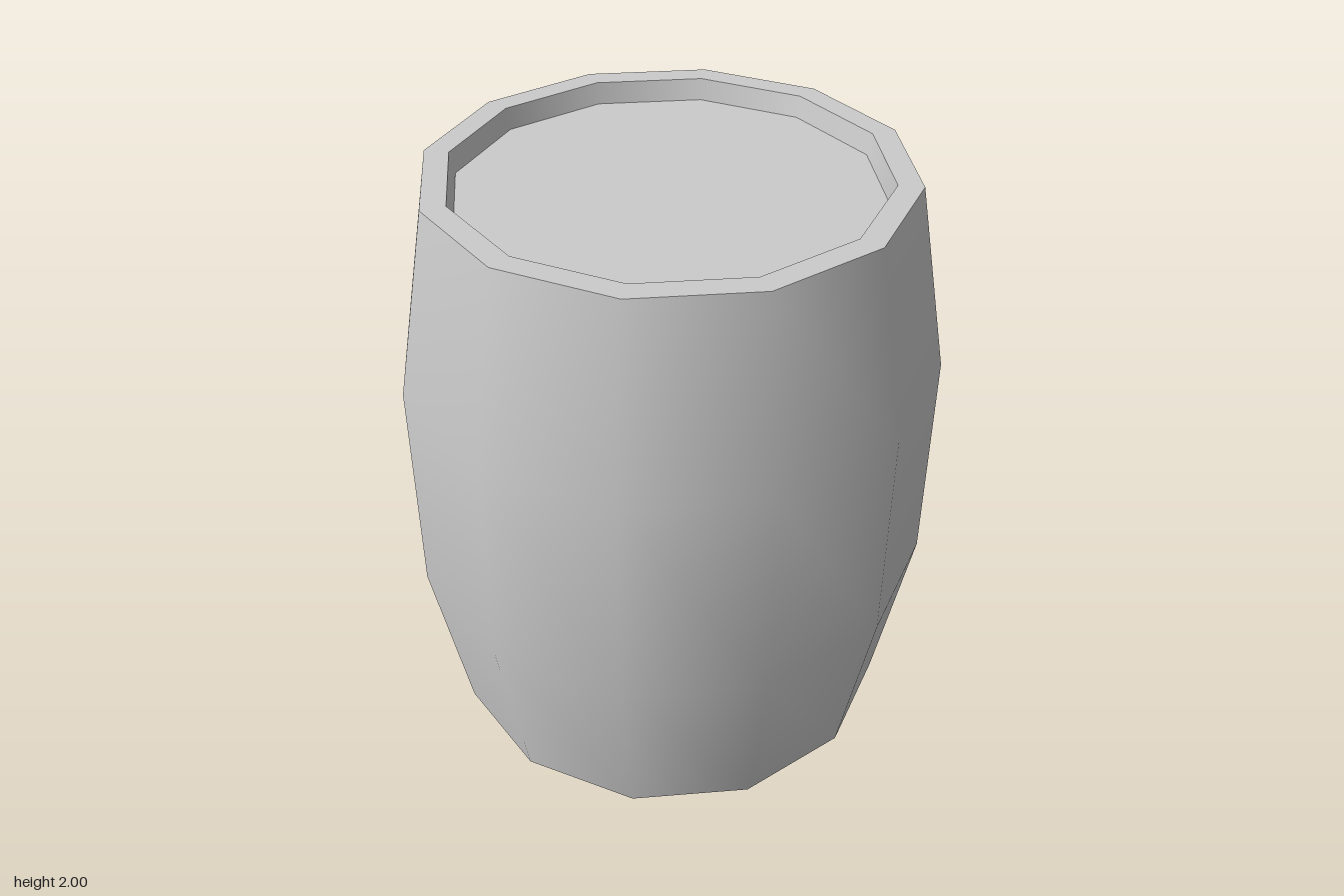
import * as THREE from 'three';

const SIDES = 12;
const HEIGHT = 2;
const RIM = 0.77;      // outer radius at both ends
const BELLY = 0.885;   // radius of the straight middle band
const LIP = 0.69;      // inner edge of the rim
const HEAD = 0.675;    // radius of the sunken end panel
const DEPTH = 0.07;    // how far the panel is sunk

export function createModel() {
  const barrel = new THREE.Group();
  barrel.name = 'barrel';
  const material = new THREE.MeshStandardMaterial({ color: 0xcccccc });

  // Each profile is its own lathe: smooth inside, sharp where parts meet.
  const addLathe = (name, profile, parent) => {
    const points = profile.map(([r, y]) => new THREE.Vector2(r, y));
    const mesh = new THREE.Mesh(new THREE.LatheGeometry(points, SIDES), material);
    mesh.name = name;
    parent.add(mesh);
  };

  // Bulging wall
  addLathe('staves', [[RIM, 0], [BELLY, 0.62], [BELLY, 1.38], [RIM, HEIGHT]], barrel);

  // Rim, recess wall and sunken panel, the same at both ends
  for (const name of ['top', 'bottom']) {
    const end = new THREE.Group();
    end.name = name + 'End';
    addLathe(name + 'Rim', [[RIM, 0], [LIP, 0]], end);
    addLathe(name + 'RecessWall', [[LIP, 0], [HEAD, -DEPTH]], end);
    addLathe(name + 'Head', [[HEAD, -DEPTH], [0, -DEPTH]], end);
    if (name === 'top') end.position.y = HEIGHT;
    else end.rotation.x = Math.PI;
    barrel.add(end);
  }
  return barrel;
}
